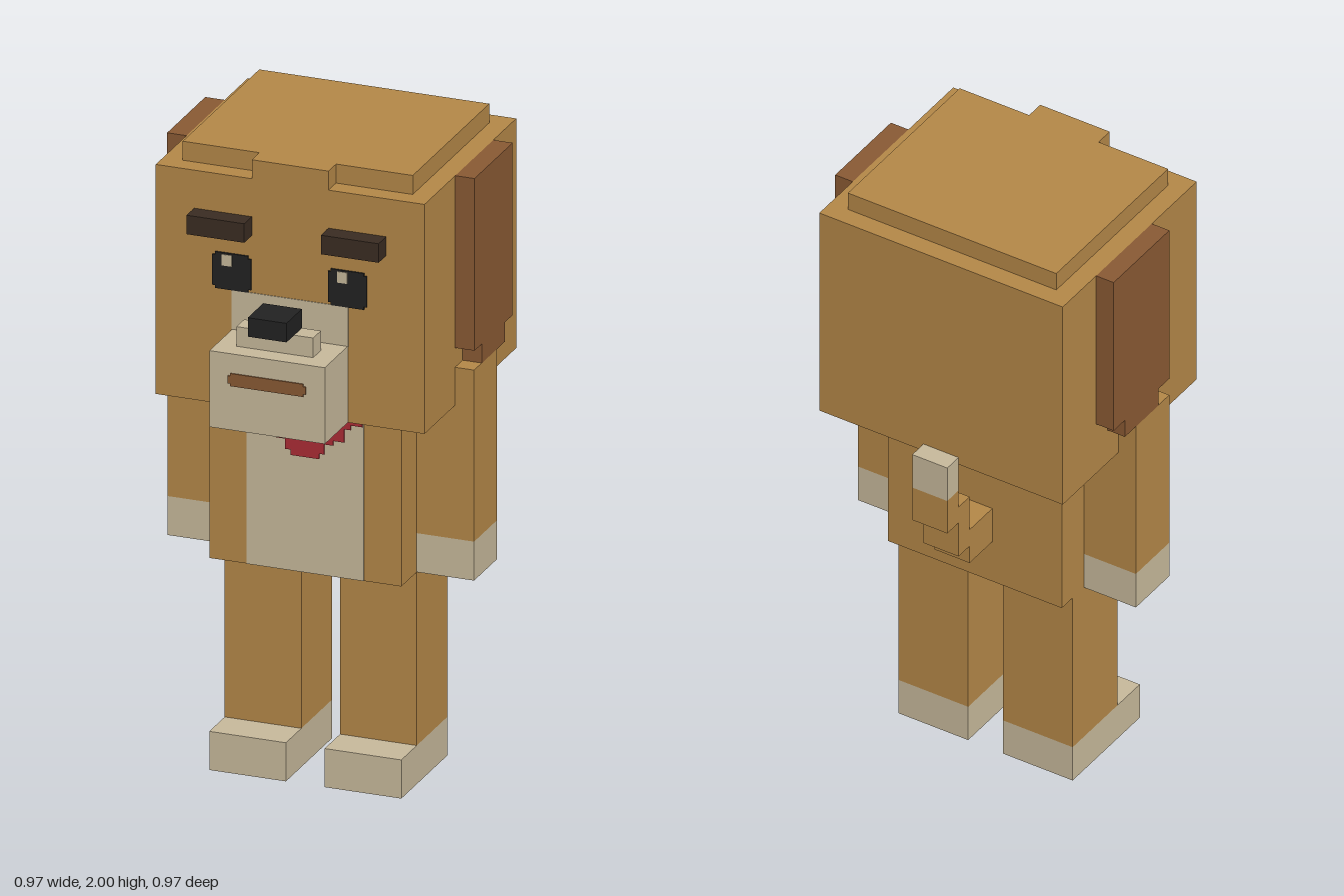
import * as THREE from 'three';

export function createModel() {
  const model = new THREE.Group();
  model.name = 'blockDog';

  const mat = (name, color) => {
    const m = new THREE.MeshStandardMaterial({ color });
    m.name = name;
    return m;
  };
  const tan = mat('tanFur', 0xb58848);
  const cream = mat('creamFur', 0xc8ba9c);
  const brown = mat('brownFur', 0x8a5a34);
  const dark = mat('darkBrow', 0x3a2c22);
  const black = mat('black', 0x222222);
  const red = mat('redCloth', 0xac2c36);

  // Box given by its lower and upper limits on each axis
  const box = (name, material, [x0, x1], [y0, y1], [z0, z1], parent = model) => {
    const mesh = new THREE.Mesh(new THREE.BoxGeometry(x1 - x0, y1 - y0, z1 - z0), material);
    mesh.position.set((x0 + x1) / 2, (y0 + y1) / 2, (z0 + z1) / 2);
    mesh.name = name;
    parent.add(mesh);
    return mesh;
  };
  // Thin painted plate, extruded forward from z
  const plate = (name, material, points, z, depth = 0.004) => {
    const shape = new THREE.Shape(points.map(([x, y]) => new THREE.Vector2(x, y)));
    const mesh = new THREE.Mesh(new THREE.ExtrudeGeometry(shape, { depth, bevelEnabled: false }), material);
    mesh.position.z = z;
    mesh.name = name;
    model.add(mesh);
  };
  // Rectangle with small square notches at its corners
  const notched = (x0, x1, y0, y1, n) => [
    [x0 + n, y0], [x1 - n, y0], [x1 - n, y0 + n], [x1, y0 + n], [x1, y1 - n], [x1 - n, y1 - n],
    [x1 - n, y1], [x0 + n, y1], [x0 + n, y1 - n], [x0, y1 - n], [x0, y0 + n], [x0 + n, y0 + n],
  ];

  // Head and the raised hair on top
  box('head', tan, [-0.424, 0.424], [1.215, 1.94], [-0.426, 0.3]);
  box('hairTop', tan, [-0.363, 0.363], [1.94, 2], [-0.366, 0.24]);
  box('hairFront', tan, [-0.121, 0.121], [1.94, 2], [0.24, 0.3]);

  // Face
  box('facePatch', cream, [-0.184, 0.184], [1.455, 1.58], [0.298, 0.302]);
  box('snout', cream, [-0.182, 0.182], [1.215, 1.456], [0.3, 0.482]);
  box('snoutBridge', cream, [-0.121, 0.121], [1.456, 1.518], [0.36, 0.421]);
  box('nose', black, [-0.061, 0.061], [1.518, 1.578], [0.36, 0.482]);
  plate('mouth', brown, notched(-0.123, 0.123, 1.355, 1.395, 0.008), 0.482);

  // Eyes: both highlights sit on the same side
  for (const x of [-0.244, 0.121]) {
    plate('eye', black, notched(x, x + 0.122, 1.58, 1.695, 0.009), 0.3, 0.005);
    box('eyeHighlight', cream, [x + 0.03, x + 0.062], [1.655, 1.69], [0.303, 0.307]);
  }

  // Body, belly and stepped neckerchief
  box('body', tan, [-0.303, 0.303], [0.67, 1.215], [-0.243, 0.18]);
  box('belly', cream, [-0.185, 0.185], [0.67, 1.215], [0.178, 0.182]);
  const steps = [[0.182, 1.215], [0.182, 1.157], [0.145, 1.157], [0.145, 1.142], [0.125, 1.142],
    [0.125, 1.1], [0.09, 1.1], [0.09, 1.085], [0.062, 1.085], [0.062, 1.053], [0.045, 1.053], [0.045, 1.036]];
  plate('neckerchief', red, [...steps, ...steps.map(([x, y]) => [-x, y]).reverse()], 0.182);

  // Paired parts
  for (const side of [-1, 1]) {
    const pair = (a, b) => (side > 0 ? [a, b] : [-b, -a]);
    const s = side > 0 ? 'left' : 'right';
    box(s + 'Ear', brown, pair(0.424, 0.485), [1.396, 1.94], [-0.245, 0.057]);
    box(s + 'EarTip', brown, pair(0.424, 0.485), [1.335, 1.396], [-0.184, -0.002]);
    box(s + 'Eyebrow', dark, pair(0.121, 0.303), [1.76, 1.82], [0.3, 0.36]);
    box(s + 'Arm', tan, pair(0.303, 0.484), [0.793, 1.335], [-0.123, 0.058]);
    box(s + 'Hand', cream, pair(0.303, 0.484), [0.67, 0.793], [-0.123, 0.058]);
    box(s + 'Leg', tan, pair(0.061, 0.303), [0.122, 0.67], [-0.184, 0.058]);
    box(s + 'Foot', cream, pair(0.061, 0.303), [0, 0.122], [-0.184, 0.18]);
  }

  // Stepped tail rising to a pale tip
  const tail = new THREE.Group();
  tail.name = 'tail';
  model.add(tail);
  const tx = [-0.061, 0.061];
  box('tailBase', tan, tx, [0.815, 0.937], [-0.366, -0.243], tail);
  box('tailMiddle', tan, tx, [0.877, 1.058], [-0.426, -0.366], tail);
  box('tailUpper', tan, tx, [1, 1.119], [-0.487, -0.426], tail);
  box('tailTip', cream, tx, [1.119, 1.24], [-0.487, -0.426], tail);

  return model;
}
